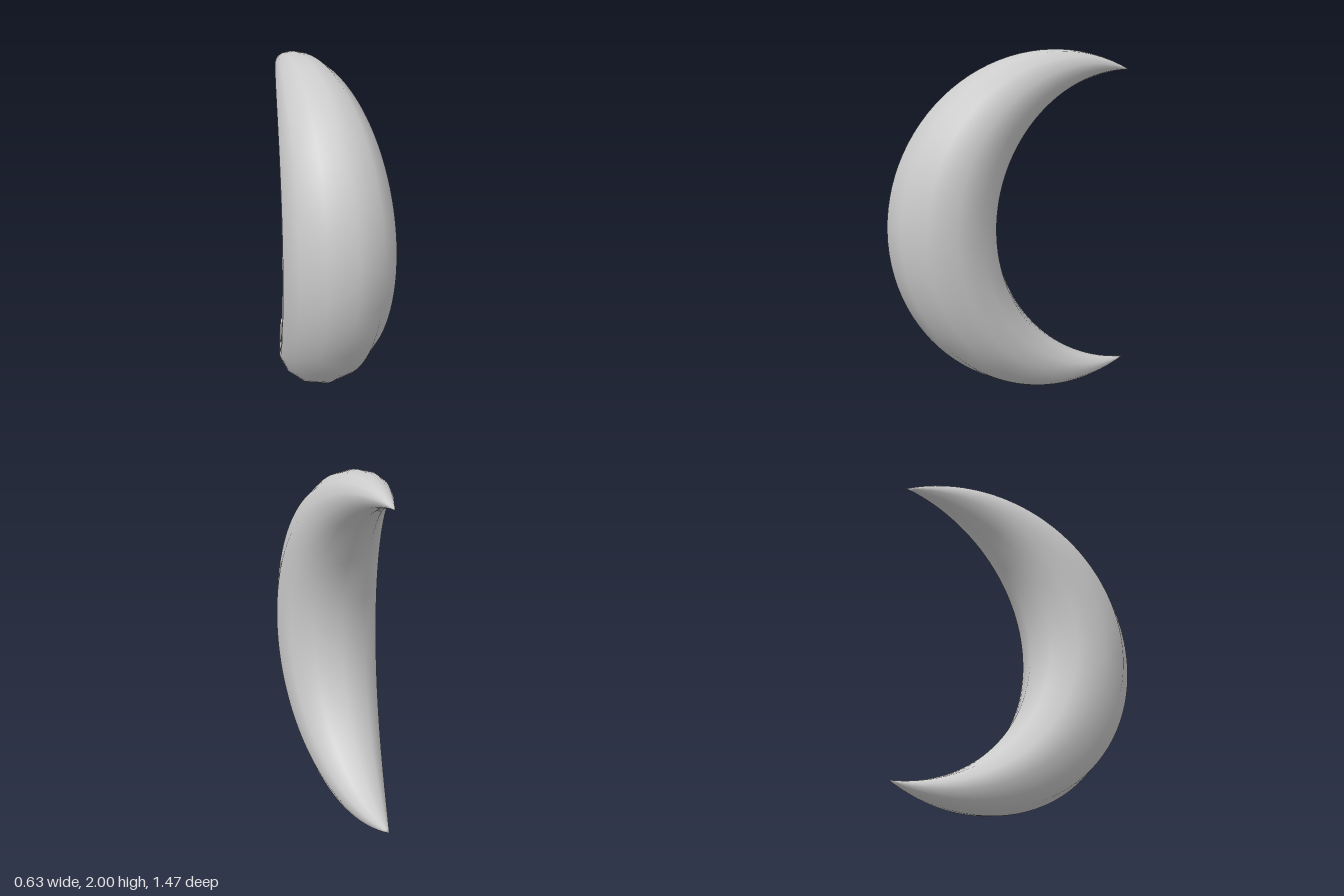
import * as THREE from 'three';
import { mergeVertices } from 'three/addons/utils/BufferGeometryUtils.js';

// Outer and inner arcs (in the z-y plane) that meet at the two tips
const OUTER = { z: -0.265, r: 1, sweep: THREE.MathUtils.degToRad(118) };
const INNER = { z: -0.781, r: 0.886, sweep: THREE.MathUtils.degToRad(87) };

function arcPoint(arc, t) {
  const a = arc.sweep * t;
  return new THREE.Vector3(0, 1 + arc.r * Math.sin(a), arc.z + arc.r * Math.cos(a));
}

export function createModel() {
  const group = new THREE.Group();
  group.name = 'crescentMoon';

  // Bend an open twelve-sided tube so each ring spans the gap between the arcs
  let geometry = new THREE.CylinderGeometry(1, 1, 2, 12, 64, true);
  const pos = geometry.attributes.position;
  for (let i = 0; i < pos.count; i++) {
    const side = pos.getX(i), t = pos.getY(i), out = pos.getZ(i);
    const outer = arcPoint(OUTER, t), inner = arcPoint(INNER, t);
    const tip = Math.abs(t) > 0.9999;
    const radius = tip ? 0 : outer.distanceTo(inner) / 2;
    const centre = outer.clone().add(inner).multiplyScalar(0.5);
    const outward = outer.sub(inner).normalize();
    const p = centre.addScaledVector(outward, radius * out);
    pos.setXYZ(i, side * radius, p.y, p.z);
  }

  // Weld the seam and tips for smooth normals
  geometry.deleteAttribute('uv');
  geometry.deleteAttribute('normal');
  geometry = mergeVertices(geometry, 1e-4);
  geometry.computeVertexNormals();

  const crescent = new THREE.Mesh(geometry, new THREE.MeshStandardMaterial({ color: 0xcccccc }));
  crescent.name = 'crescent';
  group.add(crescent);
  return group;
}
